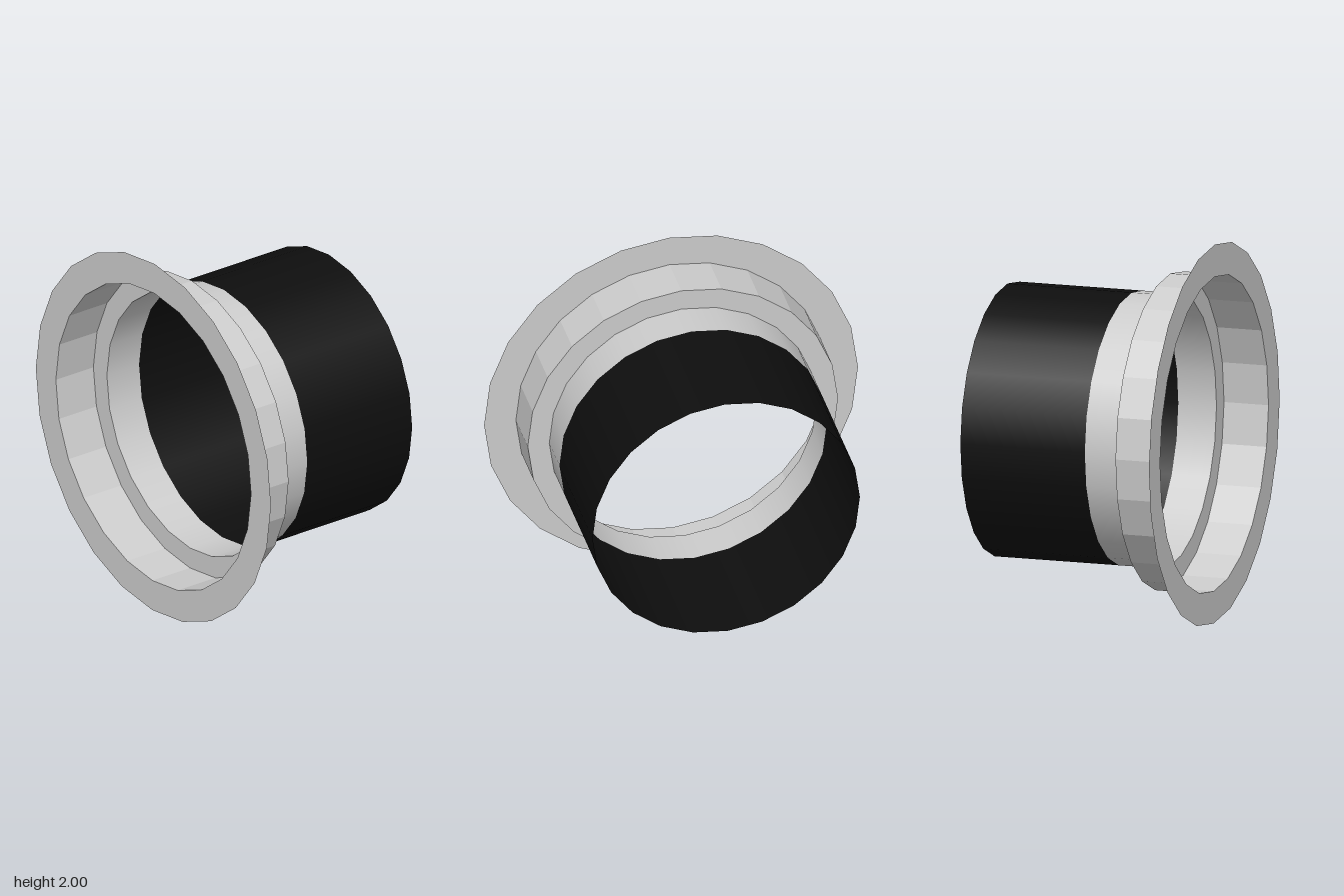
import * as THREE from 'three';

const SIDES = 24;
const TWIST = -0.0105; // slight roll of the polygon about the axis

// Thin open surface of revolution about z, from [radius, z] points.
function shell(name, points, color, flatShading) {
  const profile = points.map(([r, z]) => new THREE.Vector2(r, z));
  const geometry = new THREE.LatheGeometry(profile, SIDES, TWIST);
  geometry.rotateX(Math.PI / 2);
  const material = new THREE.MeshStandardMaterial({ color, flatShading, side: THREE.DoubleSide });
  const mesh = new THREE.Mesh(geometry, material);
  mesh.name = name;
  return mesh;
}

export function createModel() {
  const group = new THREE.Group();
  group.name = 'flangedSleeve';

  const grey = 0xcccccc;
  const black = 0x0e0e0e;
  const tube = 0.715, collar = 0.83, rim = 1;
  const back = -0.57, join = 0.115, step = 0.325, front = 0.57;

  const parts = [
    // long dark sleeve at the back, then its short grey neck
    shell('darkSleeve', [[tube, back], [tube, join]], black, false),
    shell('neck', [[tube, join], [tube, step]], grey, false),
    // step out to the faceted collar, and the flat front rim
    shell('stepRing', [[tube, step], [collar, step]], grey, true),
    shell('collar', [[collar, step], [collar, front]], grey, true),
    shell('frontRim', [[collar, front], [rim, front]], grey, true),
  ];
  for (const part of parts) {
    part.position.y = rim;
    group.add(part);
  }
  return group;
}
